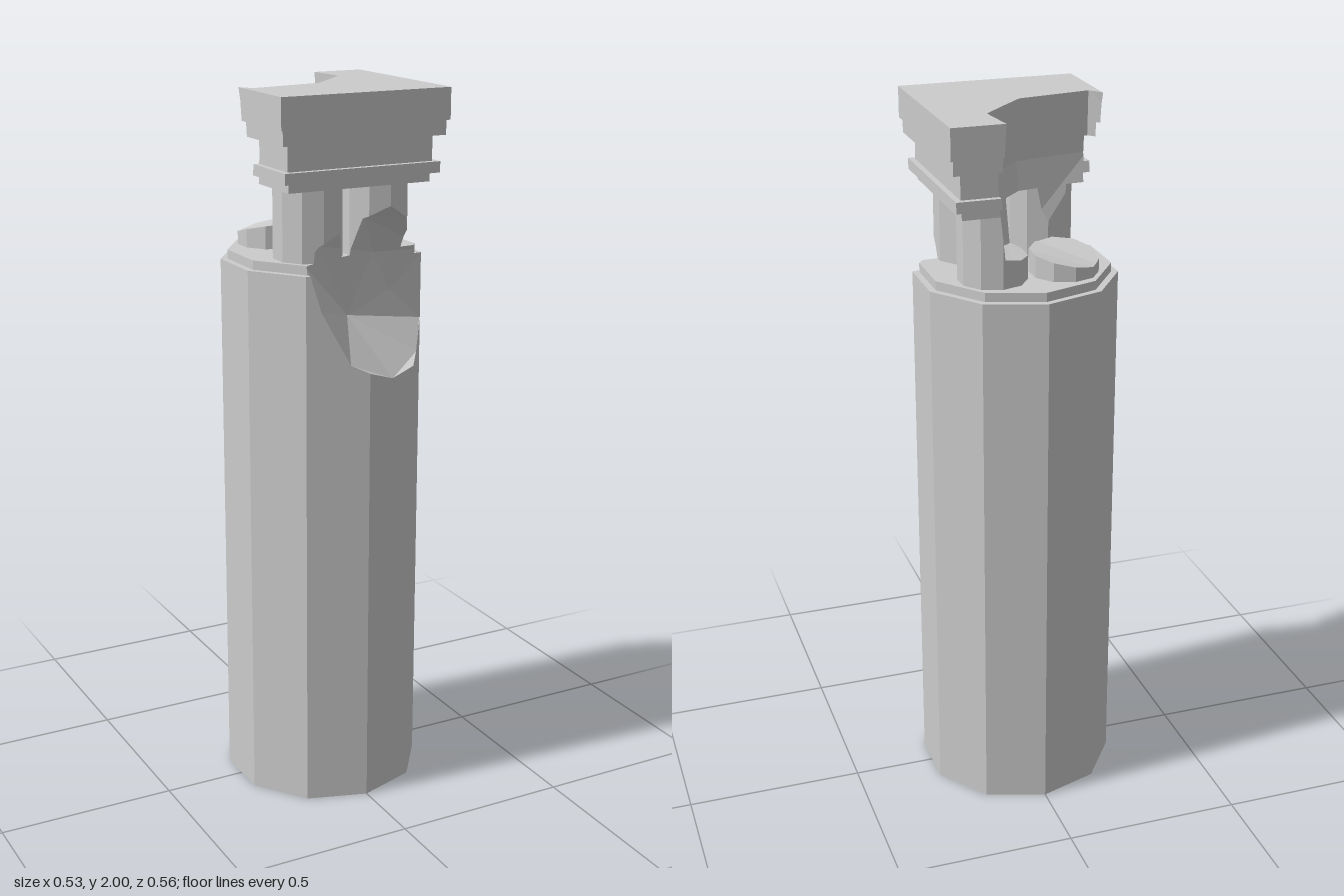
import * as THREE from 'three';
import { ConvexGeometry } from 'three/addons/geometries/ConvexGeometry.js';

const EPS = 1e-5;

// Triangles and distinct face planes of a convex geometry
function solid(geometry) {
  const g = geometry.index ? geometry.toNonIndexed() : geometry;
  const p = g.attributes.position;
  const faces = [], planes = [];
  for (let i = 0; i < p.count; i += 3) {
    const tri = [0, 1, 2].map(k => new THREE.Vector3().fromBufferAttribute(p, i + k));
    if (new THREE.Triangle(...tri).getArea() < 1e-8) continue;
    const plane = new THREE.Plane().setFromCoplanarPoints(...tri);
    faces.push(tri);
    if (!planes.some(q => q.normal.dot(plane.normal) > 0.99999 && Math.abs(q.constant - plane.constant) < 1e-4)) planes.push(plane);
  }
  return { faces, planes };
}

// Split a polygon by a plane into its inner and outer halves
function split(poly, plane) {
  const d = poly.map(v => plane.distanceToPoint(v));
  if (d.every(t => t <= EPS)) return { inner: poly, outer: null };
  if (d.every(t => t >= -EPS)) return { inner: null, outer: poly };
  const inner = [], outer = [];
  poly.forEach((a, i) => {
    const j = (i + 1) % poly.length;
    if (d[i] <= EPS) inner.push(a);
    if (d[i] >= -EPS) outer.push(a);
    if ((d[i] > EPS && d[j] < -EPS) || (d[i] < -EPS && d[j] > EPS)) {
      const cut = a.clone().lerp(poly[j], d[i] / (d[i] - d[j]));
      inner.push(cut);
      outer.push(cut);
    }
  });
  return { inner, outer };
}

// Part of a polygon inside a convex solid, with the pieces left outside
function clip(poly, planes) {
  const outside = [];
  let inner = poly;
  for (const plane of planes) {
    const s = split(inner, plane);
    if (s.outer) outside.push(s.outer);
    inner = s.inner;
    if (!inner) return { inner: null, outside: [poly] };
  }
  return { inner, outside };
}

// Convex part with convex chunks broken out of it
function broken(geometry, chunks) {
  const body = solid(geometry);
  let polys = body.faces;
  for (const chunk of chunks) {
    polys = polys.flatMap(f => clip(f, chunk.planes).outside);
    for (const f of chunk.faces) {
      const { inner } = clip(f, body.planes);
      if (inner) polys.push([...inner].reverse());
    }
  }
  const out = [];
  for (const f of polys) {
    for (let i = 1; i < f.length - 1; i++) {
      for (const v of [f[0], f[i], f[i + 1]]) out.push(v.x, v.y, v.z);
    }
  }
  const g = new THREE.BufferGeometry();
  g.setAttribute('position', new THREE.Float32BufferAttribute(out, 3));
  g.computeVertexNormals();
  return g;
}

const hull = pts => solid(new ConvexGeometry(pts.map(p => new THREE.Vector3(...p))));

export function createModel() {
  const group = new THREE.Group();
  const material = new THREE.MeshStandardMaterial({ color: 0xcccccc, flatShading: true });
  const add = (name, geometry, chunks) => {
    const mesh = new THREE.Mesh(broken(geometry, chunks), material);
    mesh.name = name;
    group.add(mesh);
  };
  const prism = (r, y0, y1, x = 0, z = 0) =>
    new THREE.CylinderGeometry(r, r, y1 - y0, 10).translate(x, (y0 + y1) / 2, z);

  // Chunk missing from the back corner of the capital and the columns below it
  const cornerChunk = hull([
    // rim above the top
    [-0.30, 2.02, -0.08], [-0.22, 2.02, 0.042], [-0.015, 2.02, 0.01],
    [0.055, 2.02, -0.06], [0.115, 2.02, -0.122], [0.095, 2.02, -0.30], [-0.4, 2.02, -0.4],
    // widest level
    [-0.32, 1.83, -0.05], [-0.225, 1.83, 0.06], [-0.01, 1.83, 0.022],
    [0.06, 1.83, -0.05], [0.122, 1.83, -0.12], [0.105, 1.83, -0.30], [-0.4, 1.83, -0.4],
    // floor, dropping towards the outside
    [-0.25, 1.63, 0.02], [-0.02, 1.63, 0.005], [0.04, 1.63, -0.06],
    [0.1, 1.64, -0.12], [0.09, 1.63, -0.25], [-0.26, 1.56, -0.26],
  ]);

  // Chunk missing from the front of the shaft and the front columns
  const frontChunk = hull([
    // lower rim and its run outwards
    [-0.05, 1.285, 0.264], [0.085, 1.23, 0.253], [0.21, 1.27, 0.165], [0.262, 1.345, 0.09],
    [-0.06, 1.26, 0.4], [0.1, 1.2, 0.4], [0.28, 1.25, 0.3], [0.34, 1.34, 0.12],
    // ridge between floor and back wall
    [-0.125, 1.43, 0.24], [0.015, 1.385, 0.12], [0.165, 1.435, 0.09], [0.3, 1.45, 0.09],
    // overhanging back wall
    [-0.155, 1.55, 0.21], [0.1, 1.55, 0.108], [0.28, 1.54, 0.09], [-0.11, 1.6, 0.19],
    [0.04, 1.66, 0.17], [0.1, 1.69, 0.2], [0.16, 1.65, 0.17],
    [0.1, 1.72, 0.4], [-0.2, 1.57, 0.4], [0.34, 1.55, 0.3],
  ]);

  // Ten-sided shaft and its raised lip
  add('shaft', prism(0.28, 0, 1.53), [frontChunk]);
  add('shaftLip', prism(0.261, 1.53, 1.555), [frontChunk]);

  // Four small columns
  for (const sx of [-1, 1]) {
    for (const sz of [-1, 1]) {
      const name = (sz > 0 ? 'front' : 'back') + (sx > 0 ? 'Left' : 'Right') + 'Column';
      add(name, prism(0.094, 1.555, 1.75, sx * 0.1, sz * 0.11),
        sz > 0 ? [cornerChunk, frontChunk] : [cornerChunk]);
    }
  }

  // Stepped square capital: half width, bottom, top
  const slabs = [
    [0.21, 1.75, 1.775], [0.23, 1.775, 1.805], [0.214, 1.805, 1.875],
    [0.24, 1.875, 1.915], [0.248, 1.915, 2],
  ];
  slabs.forEach(([h, y0, y1], i) => add('capitalSlab' + (i + 1),
    new THREE.BoxGeometry(2 * h, y1 - y0, 2 * h).translate(0, (y0 + y1) / 2, 0.008), [cornerChunk]));

  return group;
}
